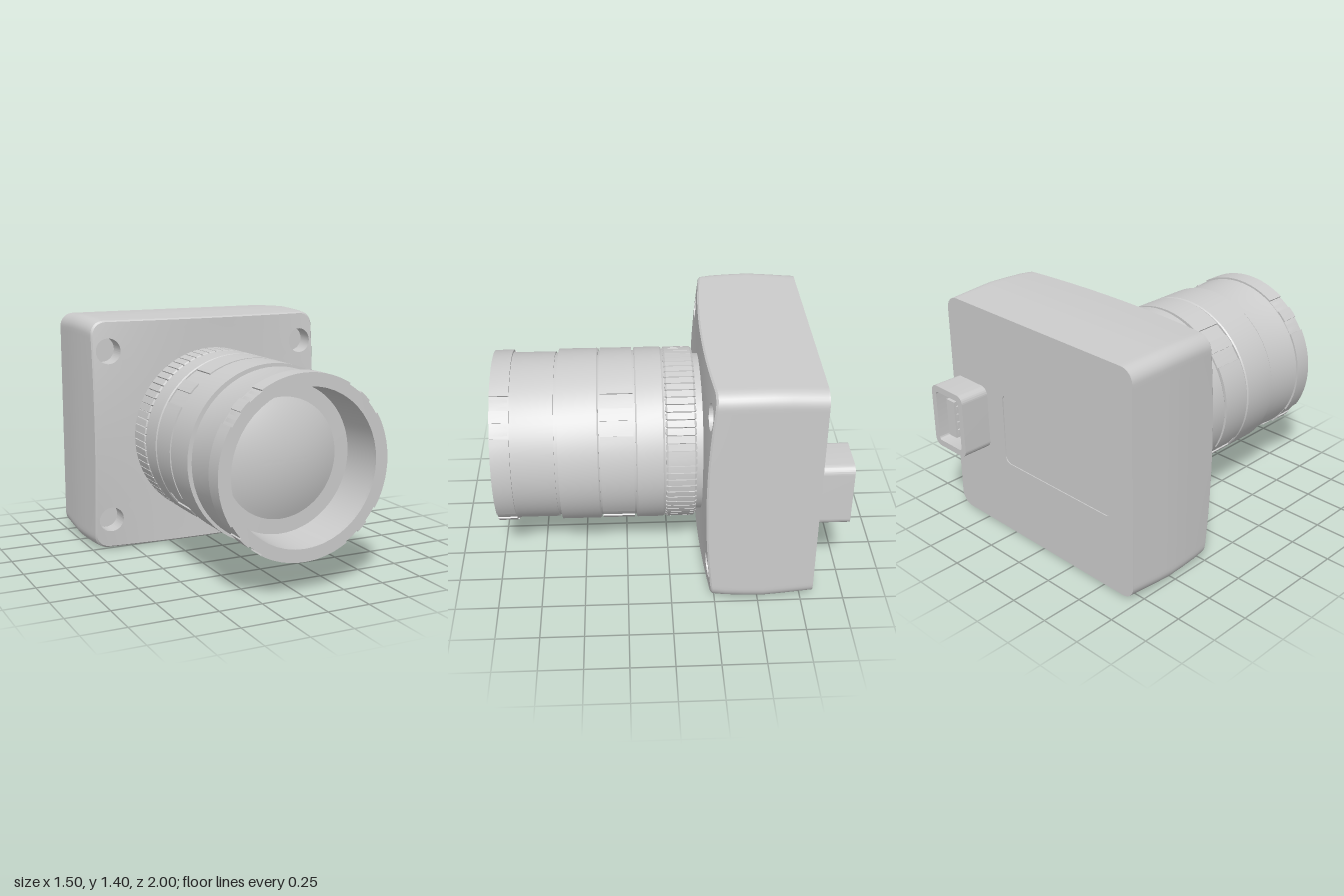
import * as THREE from 'three';
import { toCreasedNormals } from 'three/addons/utils/BufferGeometryUtils.js';

const CY = 0.7; // height of the optical axis
const V2 = (x, y) => new THREE.Vector2(x, y);
const V3 = (x, y, z) => new THREE.Vector3(x, y, z);

// Skin closed rings of equal length; counter-clockwise rings advancing towards +z face outwards
function loft(rings, flip = false) {
  const n = rings[0].length, pos = [], idx = [];
  rings.forEach(r => r.forEach(p => pos.push(p.x, p.y, p.z)));
  for (let j = 0; j < rings.length - 1; j++) {
    for (let i = 0; i < n; i++) {
      const a = j * n + i, b = j * n + (i + 1) % n, c = b + n, d = a + n;
      if (flip) idx.push(a, c, b, a, d, c);
      else idx.push(a, b, c, a, c, d);
    }
  }
  const g = new THREE.BufferGeometry();
  g.setAttribute('position', new THREE.Float32BufferAttribute(pos, 3));
  g.setIndex(idx);
  return toCreasedNormals(g, 0.5);
}

// One quarter of the rounded housing outline, from (w, 0) round to (0, h)
function quarter(w) {
  const h = w - 0.05, r = 0.08, n = 28, pts = [];
  for (let i = 0; i < n; i++) pts.push(V2(w, (h - r) * i / n));
  for (let i = 0; i < 8; i++) {
    const a = Math.PI / 2 * i / 8;
    pts.push(V2(w - r + r * Math.cos(a), h - r + r * Math.sin(a)));
  }
  for (let i = 0; i <= n; i++) pts.push(V2((w - r) * (1 - i / n), h));
  return pts;
}

function outline(w) {
  const q = quarter(w), rev = [...q].reverse();
  const part = (pts, sx, sy) => pts.slice(0, -1).map(p => V2(p.x * sx, p.y * sy));
  return [...part(q, 1, 1), ...part(rev, -1, 1), ...part(q, -1, -1), ...part(rev, 1, -1)];
}

// The front face falls away gently towards its four corners
const faceZ = (x, y) => -0.19 - 0.045 * (x / 0.735) ** 2 * (y / 0.685) ** 2;

function roundedRect(w, h, r, Type = THREE.Shape) {
  const s = new Type(), x = w / 2 - r, y = h / 2 - r;
  s.absarc(x, y, r, 0, Math.PI / 2);
  s.absarc(-x, y, r, Math.PI / 2, Math.PI);
  s.absarc(-x, -y, r, Math.PI, Math.PI * 1.5);
  s.absarc(x, -y, r, Math.PI * 1.5, Math.PI * 2);
  s.closePath();
  return s;
}

const extrude = (shape, depth, opts = {}) => toCreasedNormals(
  new THREE.ExtrudeGeometry(shape, { depth, bevelEnabled: false, curveSegments: 24, ...opts }), 0.5);

// Lathe whose axis runs along z; points are [radius, z]
const latheZ = pts => toCreasedNormals(
  new THREE.LatheGeometry(pts.map(p => V2(p[0], p[1])), 72).rotateX(Math.PI / 2), 0.5);

// Ring outline with wide raised pads and narrow recesses on the diagonals
function gripShape() {
  const hi = 0.508, lo = 0.499, pts = [];
  const spans = [[-31, 31, hi], [31, 41, lo], [41, 49, hi], [49, 59, lo]];
  for (let k = 0; k < 4; k++) {
    for (const [a0, a1, r] of spans) {
      const n = Math.ceil((a1 - a0) / 5);
      for (let i = 0; i <= n; i++) {
        const a = THREE.MathUtils.degToRad(k * 90 + a0 + (a1 - a0) * i / n);
        pts.push(V2(r * Math.cos(a), r * Math.sin(a)));
      }
    }
  }
  return new THREE.Shape(pts);
}

function knurlShape(teeth) {
  const pts = [];
  for (let i = 0; i < teeth; i++) {
    for (const [f, r] of [[0, 0.478], [0.25, 0.478], [0.35, 0.498], [0.9, 0.498]]) {
      const a = (i + f) / teeth * Math.PI * 2;
      pts.push(V2(r * Math.cos(a), r * Math.sin(a)));
    }
  }
  return new THREE.Shape(pts);
}

export function createModel() {
  const model = new THREE.Group();
  const mat = new THREE.MeshStandardMaterial({ color: 0xcccccc });
  const add = (name, geo, x = 0, y = CY, z = 0) => {
    const m = new THREE.Mesh(geo, mat);
    m.name = name;
    m.position.set(x, y, z);
    model.add(m);
    return m;
  };

  // Housing sides, bulging slightly around the middle
  const sections = [[0, -0.814], [0.735, -0.814], [0.746, -0.62], [0.75, -0.53], [0.748, -0.42], [0.744, -0.31]];
  const rings = sections.map(([w, z]) =>
    outline(w || 0.735).map(p => V3(w ? p.x : 0, w ? p.y : 0, z)));
  for (const [w, dz] of [[0.738, -0.01], [0.73, 0]]) {
    rings.push(outline(w).map(p => V3(p.x, p.y, faceZ(p.x, p.y) + dz)));
  }
  add('housing', loft(rings));

  // Front face in four mirrored quarters, each with a screw hole
  const edge = quarter(0.73), top = edge[edge.length - 1].y, hole = V2(0.64, 0.51);
  for (let i = 1; i <= 20; i++) edge.push(V2(0, top * (1 - i / 20)));
  for (let i = 1; i < 20; i++) edge.push(V2(0.73 * i / 20, 0));
  const rim = edge.map(p => p.clone().sub(hole).setLength(0.075).add(hole));
  for (const sx of [1, -1]) {
    for (const sy of [1, -1]) {
      const loops = [];
      for (let k = 0; k <= 8; k++) {
        loops.push(edge.map((p, i) => {
          const q = p.clone().lerp(rim[i], k / 8);
          return V3(q.x * sx, q.y * sy, faceZ(q.x, q.y));
        }));
      }
      loops.push(rim.map(p => V3(p.x * sx, p.y * sy, -0.32)));
      loops.push(rim.map(() => V3(hole.x * sx, hole.y * sy, -0.32)));
      add('frontFaceQuarter', loft(loops, sx * sy < 0));
    }
  }

  // Back plate with a shallow label recess
  const plate = new THREE.Shape(outline(0.735));
  const recess = roundedRect(0.86, 0.44, 0.04, THREE.Path).getPoints(8).map(p => V2(p.x - 0.14, p.y - 0.01));
  plate.holes.push(new THREE.Path(recess));
  add('backPlate', extrude(plate, 0.006), 0, CY, -0.82);

  // Cable socket with its contact tongue
  const shell = roundedRect(0.28, 0.39, 0.045);
  shell.holes.push(roundedRect(0.205, 0.315, 0.02, THREE.Path));
  add('socketShell', extrude(shell, 0.18), 0.567, 0.705, -1);
  add('socketFloor', new THREE.BoxGeometry(0.23, 0.33, 0.04), 0.567, 0.705, -0.84);
  add('socketTongue', new THREE.BoxGeometry(0.07, 0.23, 0.12), 0.58, 0.705, -0.91);
  for (let i = 0; i < 4; i++) {
    add('contact', new THREE.BoxGeometry(0.012, 0.025, 0.11), 0.54, 0.63 + i * 0.05, -0.905);
  }

  // Lens barrel, from the mount to the front rim and back down the bore
  add('lensBarrel', latheZ([
    [0, -0.25], [0.465, -0.25], [0.465, -0.155], [0.49, -0.155], [0.49, 0.025],
    [0.502, 0.025], [0.508, 0.035], [0.508, 0.18], [0.502, 0.188], [0.49, 0.188], [0.49, 0.395],
    [0.502, 0.395], [0.508, 0.403], [0.508, 0.625], [0.483, 0.625], [0.483, 0.645], [0.492, 0.645],
    [0.492, 0.872], [0.499, 0.9], [0.499, 0.998], [0.435, 0.998], [0.425, 0.73], [0.33, 0.73],
  ]));

  // Padded grip rings
  add('focusRing', extrude(gripShape(), 0.185), 0, CY, 0.2);
  const frontRing = gripShape();
  frontRing.holes.push(new THREE.Path().absarc(0, 0, 0.435, 0, Math.PI * 2, true));
  add('frontRing', extrude(frontRing, 0.11), 0, CY, 0.89);

  // Knurled locking ring
  add('knurledRing', extrude(knurlShape(72), 0.15, {
    bevelEnabled: true, bevelThickness: 0.012, bevelSize: 0.009, bevelSegments: 1,
  }), 0, CY, -0.142);

  // Domed front glass
  const dome = [];
  for (let i = 0; i <= 12; i++) {
    const r = 0.34 * (1 - i / 12);
    dome.push([r, 0.73 + 0.07 * (1 - (r / 0.34) ** 2)]);
  }
  add('frontGlass', latheZ(dome));

  return model;
}
